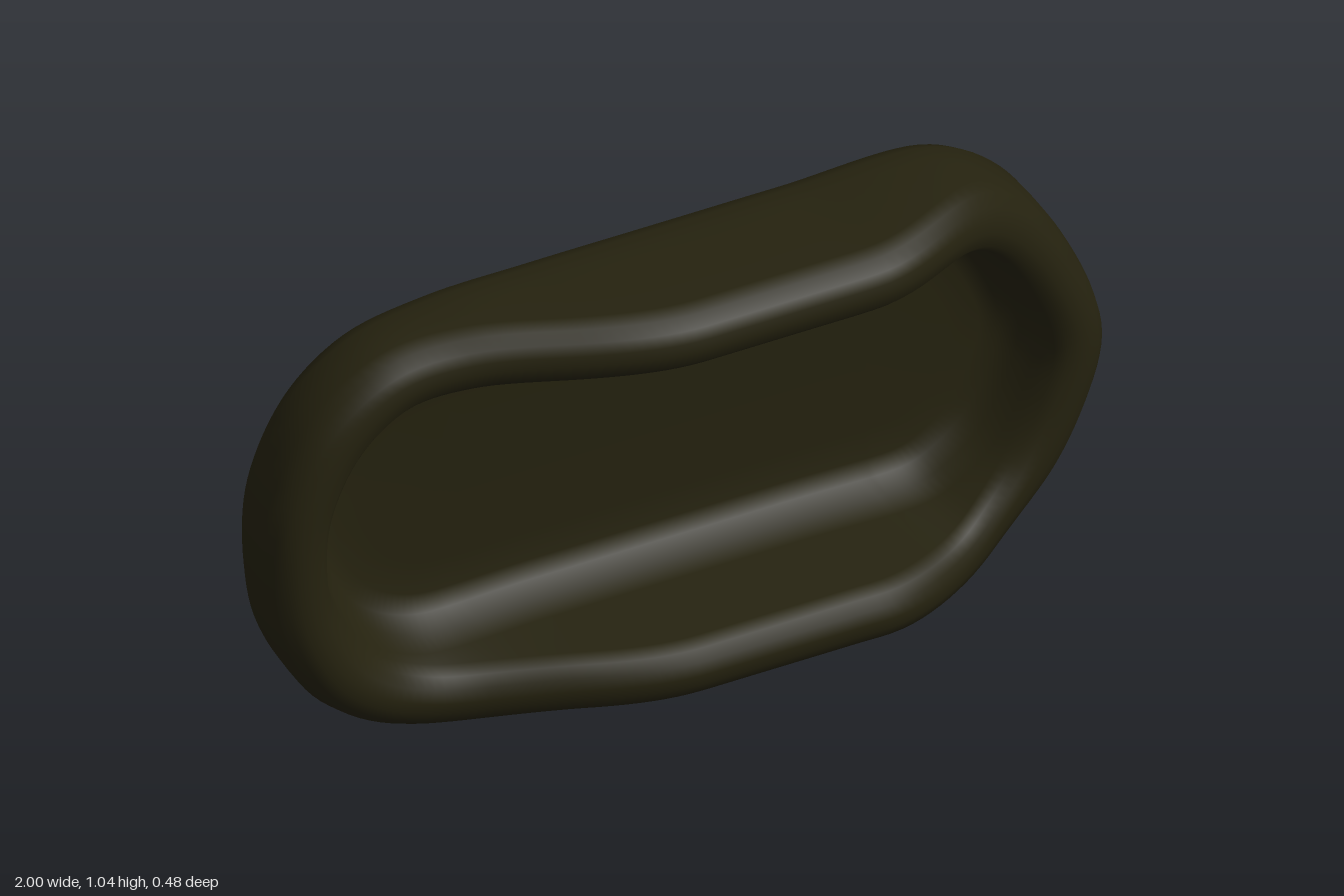
import * as THREE from 'three';

const smooth = THREE.MathUtils.smoothstep;

// Height of the rim's front edge: low at both ends, bulging forward in the middle
const rimFront = (x) =>
  0.07 + 0.17 * smooth(x, -0.7, -0.05) * (1 - smooth(x, 0.36, 0.84));

// Outline of the tray, counter-clockwise from the front
const OUTLINE = [
  [-0.66, 0.007], [-0.3, 0.003], [0, 0.003], [0.3, 0.003], [0.64, 0.005], [0.75, 0.055], [0.86, 0.15],
  [0.96, 0.33], [1, 0.51], [0.93, 0.73], [0.8, 0.93], [0.65, 1.022], [0.3, 1.025],
  [0, 1.025], [-0.3, 1.025], [-0.55, 1.02], [-0.75, 0.98], [-0.89, 0.87], [-0.98, 0.69],
  [-1, 0.52], [-0.97, 0.31], [-0.86, 0.12],
];

// Cross-section from the floor's middle, over the rim, to the middle of the back:
// [inset from outline, z, whether z is measured from the rim's front edge]
const SECTION = [
  [0.5, -0.12, 0], [0.3, -0.12, 0], [0.23, -0.115, 0], [0.19, -0.1, 0], [0.165, -0.06, 0],
  [0.15, -0.01, 0], [0.142, -0.06, 1], [0.13, -0.028, 1], [0.11, -0.006, 1], [0.08, 0, 1],
  [0.055, -0.003, 1], [0.03, -0.015, 1], [0.01, -0.04, 1], [0, -0.075, 1],
  [0, -0.05, 0], [0.002, -0.1, 0], [0.018, -0.137, 0], [0.05, -0.167, 0], [0.1, -0.192, 0],
  [0.17, -0.211, 0], [0.25, -0.225, 0], [0.34, -0.235, 0], [0.5, -0.24, 0],
];

function trayGeometry(segments = 180) {
  const curve = new THREE.CatmullRomCurve3(
    OUTLINE.map(([x, y]) => new THREE.Vector3(x, y, 0)), true, 'centripetal');
  const ring = curve.getSpacedPoints(segments).slice(0, segments);
  const positions = [];
  const index = [];
  SECTION.forEach(([inset, z, fromRim], i) => {
    ring.forEach((p, j) => {
      // inset towards the nearest point of the tray's middle line
      const t = inset / 0.5;
      const sx = THREE.MathUtils.clamp(p.x, -0.5, 0.5);
      const x = p.x + (sx - p.x) * t;
      const y = p.y + (0.514 - p.y) * t;
      positions.push(x, y, fromRim ? rimFront(x) + z : z);
      if (i === SECTION.length - 1) return;
      const k = (j + 1) % segments;
      const a = i * segments + j, d = i * segments + k;
      const b = a + segments, c = d + segments;
      index.push(a, b, c, a, c, d);
    });
  });
  const g = new THREE.BufferGeometry();
  g.setAttribute('position', new THREE.Float32BufferAttribute(positions, 3));
  g.setIndex(index);
  g.computeVertexNormals();
  return g;
}

export function createModel() {
  const group = new THREE.Group();
  group.name = 'tray';
  const darkOlive = new THREE.MeshStandardMaterial({ color: 0x25220f });
  darkOlive.name = 'darkOlive';
  const shell = new THREE.Mesh(trayGeometry(), darkOlive);
  shell.name = 'trayShell';
  group.add(shell);
  return group;
}
